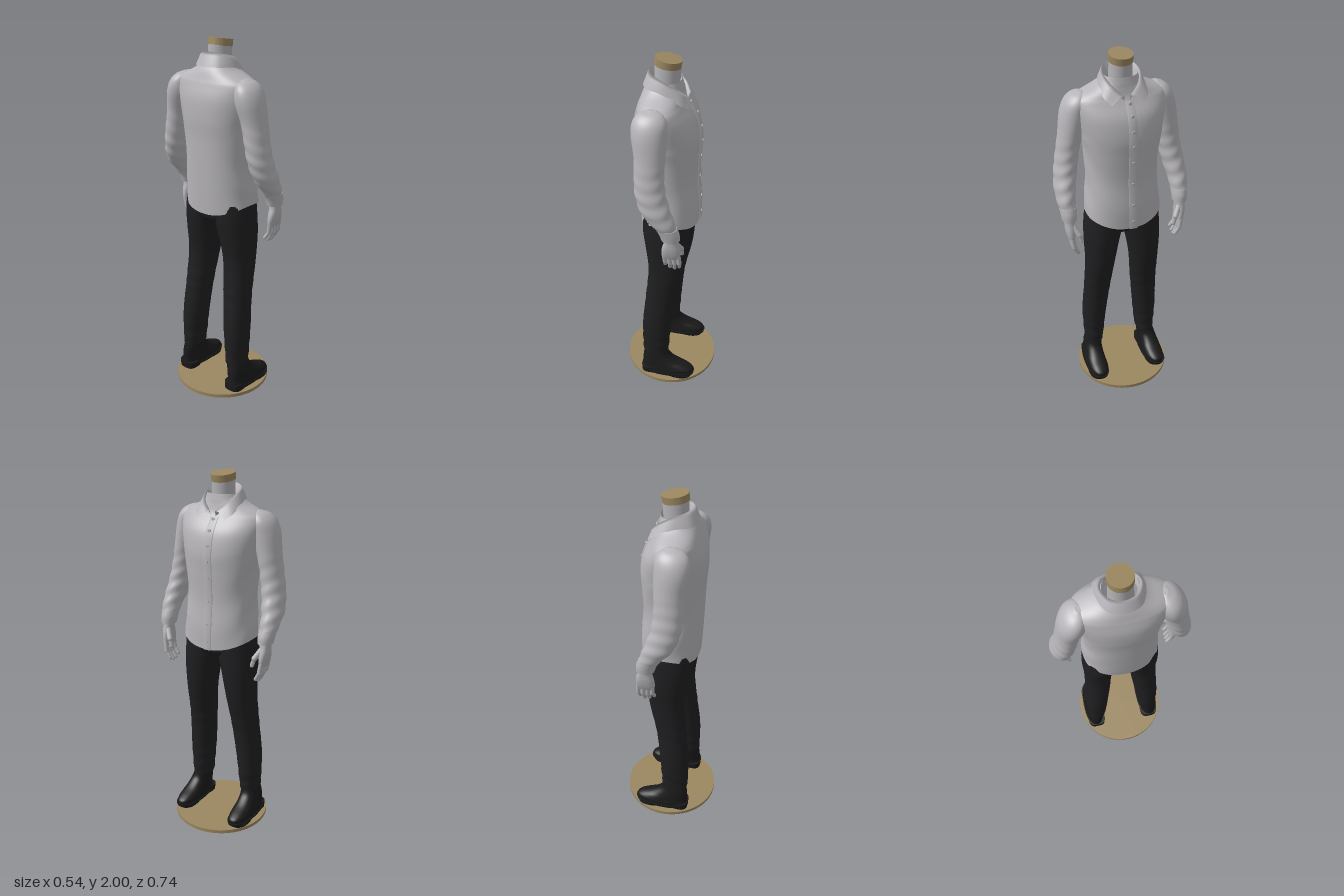
import * as THREE from 'three';

const mat = (name, color, side = THREE.FrontSide) => {
  const m = new THREE.MeshStandardMaterial({ color, side });
  m.name = name;
  return m;
};

// Surface through rows of points; "wrap" joins the row ends, "caps" closes first and last rows
function skin(rows, wrap, caps) {
  const n = rows[0].length, pos = [], idx = [];
  rows.forEach(r => r.forEach(p => pos.push(p.x, p.y, p.z)));
  for (let i = 0; i < rows.length - 1; i++)
    for (let j = 0; j < (wrap ? n : n - 1); j++) {
      const k = (j + 1) % n, a = i * n + j, b = i * n + k;
      idx.push(a, a + n, b, b, a + n, b + n);
    }
  if (caps) [0, rows.length - 1].forEach(i => {
    const base = pos.length / 3, c = new THREE.Vector3();
    rows[i].forEach(p => c.addScaledVector(p, 1 / n));
    rows[i].forEach(p => pos.push(p.x, p.y, p.z));
    pos.push(c.x, c.y, c.z);
    for (let j = 0; j < n; j++) {
      const k = (j + 1) % n;
      if (i) idx.push(base + k, base + j, base + n);
      else idx.push(base + j, base + k, base + n);
    }
  });
  const g = new THREE.BufferGeometry();
  g.setAttribute('position', new THREE.Float32BufferAttribute(pos, 3));
  g.setIndex(idx);
  g.computeVertexNormals();
  return g;
}

// Sections are [y, centre x, centre z, radius x, radius z], listed upwards
function sampler(sections, power = 2, fold = () => 0) {
  const mid = new THREE.CatmullRomCurve3(sections.map(s => new THREE.Vector3(s[1], s[0], s[2])), false, 'catmullrom');
  const rad = new THREE.CatmullRomCurve3(sections.map(s => new THREE.Vector3(s[3], s[4], 0)), false, 'catmullrom');
  const bend = v => Math.sign(v) * Math.abs(v) ** (2 / power);
  return (u, a) => {
    const c = mid.getPoint(u), r = rad.getPoint(u), f = 1 + fold(a, c.y);
    return new THREE.Vector3(c.x + r.x * f * bend(Math.cos(a)), c.y, c.z + r.y * f * bend(Math.sin(a)));
  };
}
function rings(at, steps, n = 48) {
  return Array.from({ length: steps + 1 }, (_, i) =>
    Array.from({ length: n }, (_, j) => at(i / steps, (j / n) * Math.PI * 2)));
}
const loft = (sections, { power, fold, steps = 40, caps = true } = {}) =>
  skin(rings(sampler(sections, power, fold), steps), true, caps);
const sided = (s, sections) => sections.map(([y, x, z, rx, rz]) => [y, x, z * s, rx, rz]);

export function createModel() {
  const root = new THREE.Group();
  root.name = 'dressedMannequin';
  const shirt = mat('shirtGrey', 0xb7b5b9, THREE.DoubleSide);
  const body = mat('bodyGrey', 0xb3b2b5);
  const cloth = mat('trouserBlack', 0x1f1f21);
  const leather = mat('bootBlack', 0x1a1a1b);
  const wood = mat('tan', 0x9b8760);
  const add = (name, geo, m, parent = root) => {
    const mesh = new THREE.Mesh(geo, m);
    mesh.name = name;
    parent.add(mesh);
    return mesh;
  };
  const capsule = (name, a, b, r, parent) => {
    const p = new THREE.Vector3(...a), q = new THREE.Vector3(...b), d = q.clone().sub(p);
    const mesh = add(name, new THREE.CapsuleGeometry(r, d.length(), 6, 12), body, parent);
    mesh.position.copy(p).add(q).multiplyScalar(0.5);
    mesh.quaternion.setFromUnitVectors(new THREE.Vector3(0, 1, 0), d.normalize());
  };

  // Stand
  add('standDisc', new THREE.CylinderGeometry(0.27, 0.27, 0.02, 72), wood).position.y = 0.02;
  add('standFoot', new THREE.CylinderGeometry(0.165, 0.165, 0.012, 48), wood).position.set(0.015, 0.006, 0);

  // Neck and its tilted cap
  add('neck', loft([[1.72, -0.045, 0, 0.07, 0.065], [1.85, -0.025, 0, 0.064, 0.06], [1.96, -0.018, 0, 0.064, 0.057]]), body);
  const cap = add('neckCap', new THREE.CylinderGeometry(0.067, 0.067, 0.036, 40), wood);
  cap.position.set(-0.018, 1.971, 0);
  cap.rotation.z = -0.15;
  cap.scale.z = 0.92;

  // Shirt body with a hem that rises at the sides
  const torso = sampler([
    [1.085, -0.002, 0, 0.155, 0.208], [1.2, -0.006, 0, 0.158, 0.2], [1.35, -0.015, 0, 0.155, 0.19],
    [1.5, -0.015, 0, 0.16, 0.198], [1.6, -0.017, 0, 0.165, 0.213], [1.7, -0.025, 0, 0.153, 0.232],
    [1.77, -0.037, 0, 0.122, 0.24], [1.8, -0.04, 0, 0.108, 0.212], [1.835, -0.038, 0, 0.097, 0.137],
    [1.86, -0.033, 0, 0.088, 0.102], [1.89, -0.025, 0, 0.075, 0.085]],
    2.3, (a, y) => 0.012 * Math.sin(y * 28 + 5 * Math.cos(a)) * Math.sin(a) ** 2 * (y < 1.6 ? 1 : 0));
  const hemmed = (u, a) => {
    const p = torso(u, a);
    p.y += 0.055 * Math.sin(a) ** 2 * Math.max(0, 1 - u * 5);
    return p;
  };
  add('shirtBody', skin(rings(hemmed, 60, 64), true, false), shirt);

  // Button placket and buttons
  const strip = [[-0.034, -0.004], [-0.032, 0.007], [0.01, 0.007], [0.012, -0.004]];
  add('placket', skin(Array.from({ length: 31 }, (_, i) => {
    const p = torso((i / 30) * 0.63, 0);
    return strip.map(([z, dx]) => new THREE.Vector3(p.x + dx, p.y, z));
  }), false, false), shirt);
  for (let i = 0; i < 8; i++) {
    const p = torso(0.04 + i * 0.08, 0);
    const b = add('button', new THREE.CylinderGeometry(0.008, 0.008, 0.006, 16), shirt);
    b.rotation.z = Math.PI / 2;
    b.position.set(p.x + 0.009, p.y, -0.011);
  }

  // Folded collar: outer edge, crest and inner stand
  const edge = half => {
    const pts = [...half].reverse().concat(half.slice(1).map(([x, y, z]) => [x, y, -z]));
    return new THREE.CatmullRomCurve3(pts.map(p => new THREE.Vector3(...p)), false, 'catmullrom').getPoints(48);
  };
  const outer = edge([[-0.138, 1.86, 0], [-0.113, 1.86, 0.08], [-0.03, 1.853, 0.115], [0.06, 1.805, 0.115], [0.1, 1.775, 0.085]]);
  const crest = edge([[-0.107, 1.93, 0], [-0.085, 1.925, 0.06], [-0.02, 1.905, 0.092], [0.045, 1.86, 0.07], [0.085, 1.81, 0.016]]);
  const middle = crest.map((p, i) => p.clone().lerp(outer[i], 0.35).add(new THREE.Vector3(0, 0.009, 0)));
  const inner = crest.map(p => new THREE.Vector3(-0.02 + (p.x + 0.02) * 0.84, p.y - 0.06, p.z * 0.84));
  add('collar', skin([outer, middle, crest, inner], false, false), shirt);

  // Trouser seat
  add('trouserSeat', loft([[1.02, -0.01, 0, 0.09, 0.12], [1.06, -0.01, 0, 0.124, 0.195],
    [1.13, -0.008, 0, 0.132, 0.198], [1.22, -0.008, 0, 0.13, 0.18]], { power: 2.3 }), cloth);

  for (const s of [1, -1]) {
    const side = s > 0 ? 'right' : 'left';
    const limb = new THREE.Group();
    limb.name = side + 'Limbs';
    root.add(limb);

    // Sleeve with soft creases, and cuff
    add('sleeve', loft(sided(s, [
      [1.2, 0.048, 0.313, 0.05, 0.041], [1.25, 0.022, 0.315, 0.062, 0.049], [1.31, -0.014, 0.311, 0.076, 0.056],
      [1.4, -0.044, 0.295, 0.077, 0.06], [1.5, -0.054, 0.277, 0.075, 0.06], [1.6, -0.054, 0.258, 0.078, 0.063],
      [1.7, -0.06, 0.235, 0.088, 0.071], [1.76, -0.058, 0.222, 0.084, 0.062], [1.795, -0.055, 0.21, 0.06, 0.042],
      [1.812, -0.05, 0.2, 0.02, 0.012]]), {
      steps: 90,
      fold: (a, y) => 0.03 * Math.sin(y * 85 + 2.5 * Math.sin(a)) * Math.max(0, Math.min(1, (1.62 - y) * 5)),
    }), shirt, limb);
    add('cuff', loft(sided(s, [[1.155, 0.06, 0.312, 0.048, 0.039], [1.19, 0.053, 0.313, 0.053, 0.043],
      [1.225, 0.038, 0.314, 0.056, 0.046]]), { steps: 8 }), shirt, limb);

    // Hand with four fingers and a thumb
    add('palm', loft(sided(s, [[1.03, 0.062, 0.305, 0.044, 0.016], [1.06, 0.062, 0.31, 0.05, 0.021],
      [1.1, 0.062, 0.313, 0.046, 0.025], [1.14, 0.062, 0.313, 0.035, 0.026], [1.18, 0.058, 0.313, 0.034, 0.028]]),
      { power: 2.4, steps: 16 }), body, limb);
    for (let i = 0; i < 4; i++) {
      const x = 0.025 + i * 0.025, drop = [0.02, 0.004, 0, 0.012][i];
      const knuckle = [x + 0.004, 0.99 + drop * 0.5, s * 0.302], tip = [x, 0.946 + drop, s * 0.28];
      capsule('fingerBase', [x, 1.05, s * 0.31], knuckle, 0.0125, limb);
      capsule('fingerTip', knuckle, tip, 0.0105, limb);
    }
    capsule('thumbBase', [0.085, 1.12, s * 0.3], [0.108, 1.075, s * 0.274], 0.015, limb);
    capsule('thumbTip', [0.108, 1.075, s * 0.274], [0.11, 1.035, s * 0.262], 0.0115, limb);

    // Trouser leg, creased at knee and ankle
    add('trouserLeg', loft(sided(s, [
      [0.195, -0.062, 0.165, 0.076, 0.053], [0.4, -0.055, 0.158, 0.084, 0.067], [0.6, -0.035, 0.143, 0.085, 0.073],
      [0.8, -0.006, 0.13, 0.098, 0.081], [0.95, -0.005, 0.119, 0.114, 0.096], [1.05, -0.01, 0.106, 0.124, 0.105],
      [1.15, -0.01, 0.1, 0.124, 0.1]]), {
      power: 2.15, steps: 80,
      fold: (a, y) => 0.025 * Math.sin(y * 75 + 2 * Math.sin(a + s)) *
        (Math.exp(-(((y - 0.26) / 0.1) ** 2)) + 0.5 * Math.exp(-(((y - 0.62) / 0.1) ** 2))),
    }), cloth, limb);

    // Boot upper
    add('bootUpper', loft(sided(s, [
      [0.05, 0.013, 0.181, 0.157, 0.061], [0.075, 0.013, 0.181, 0.155, 0.06], [0.095, -0.002, 0.18, 0.138, 0.056],
      [0.12, -0.032, 0.178, 0.107, 0.053], [0.155, -0.054, 0.174, 0.082, 0.05], [0.19, -0.06, 0.168, 0.071, 0.048],
      [0.24, -0.06, 0.165, 0.068, 0.045]]), { power: 2.3 }), leather, limb);
    // Sole and heel block
    add('bootSole', loft(sided(s, [[0.04, 0.015, 0.181, 0.158, 0.063], [0.056, 0.015, 0.181, 0.162, 0.065]]),
      { power: 2.4, steps: 2 }), leather, limb);
    add('bootForefoot', loft(sided(s, [[0.029, 0.082, 0.183, 0.08, 0.058], [0.045, 0.082, 0.183, 0.086, 0.061]]),
      { power: 2.4, steps: 2 }), leather, limb);
    add('bootHeel', loft(sided(s, [[0.029, -0.092, 0.178, 0.053, 0.053], [0.07, -0.092, 0.178, 0.054, 0.055]]),
      { power: 3, steps: 2 }), leather, limb);
  }
  return root;
}
